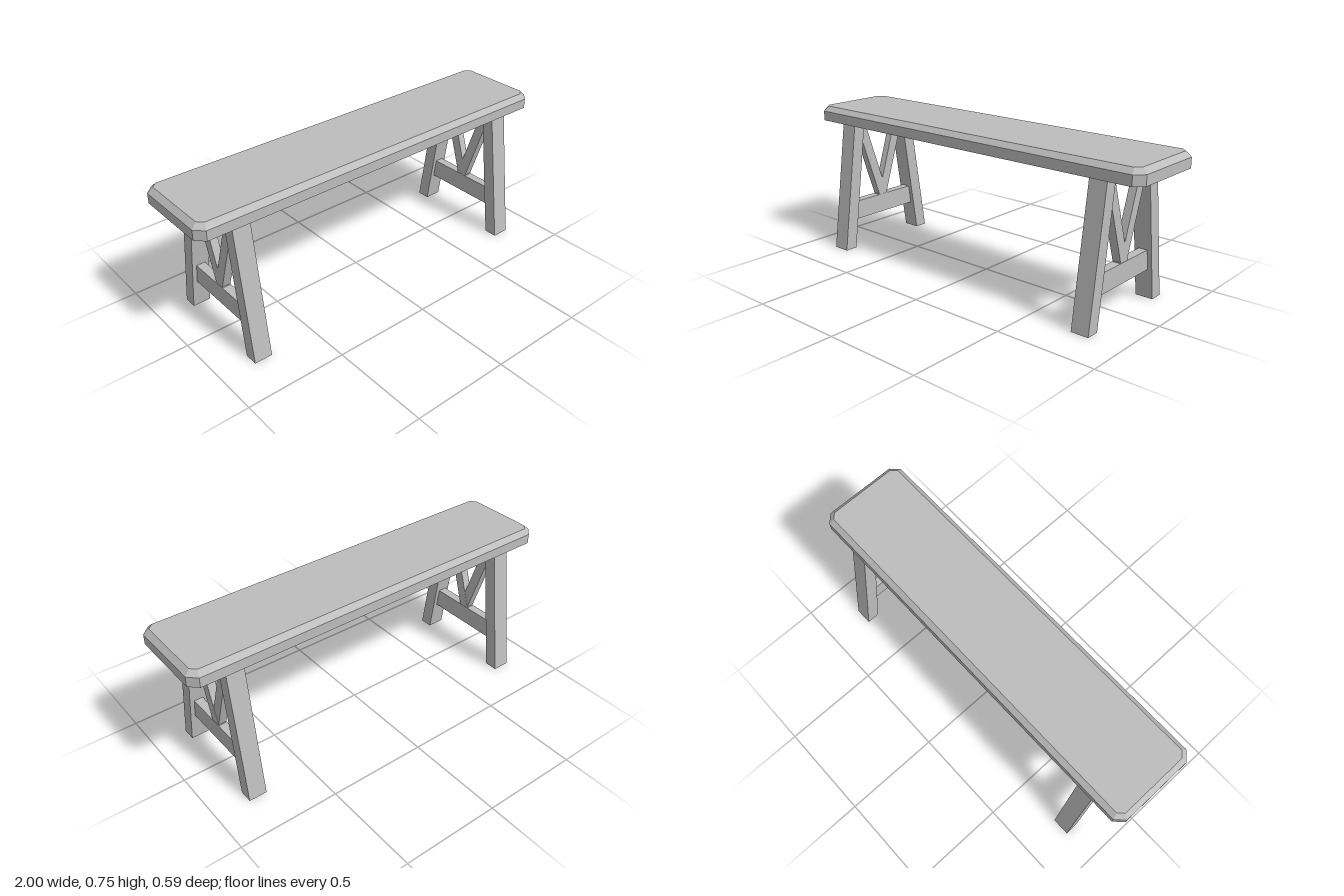
import * as THREE from 'three';
import { ConvexGeometry } from 'three/addons/geometries/ConvexGeometry.js';

const SEAT_BOTTOM = 0.675;

// Rectangle with cut corners, as a ring of points at height y
function cornerCutRing(halfX, halfZ, cut, y) {
  const points = [];
  for (const sx of [-1, 1]) {
    for (const sz of [-1, 1]) {
      points.push(new THREE.Vector3(sx * (halfX - cut), y, sz * halfZ));
      points.push(new THREE.Vector3(sx * halfX, y, sz * (halfZ - cut)));
    }
  }
  return points;
}

// Board cut from a [z, y] outline, centred on x
function board(name, outline, thickness, material) {
  const shape = new THREE.Shape(outline.map(([z, y]) => new THREE.Vector2(z, y)));
  const geometry = new THREE.ExtrudeGeometry(shape, { depth: thickness, bevelEnabled: false });
  geometry.translate(0, 0, -thickness / 2);
  geometry.rotateY(-Math.PI / 2);
  const mesh = new THREE.Mesh(geometry, material);
  mesh.name = name;
  return mesh;
}

// A-frame support: two splayed legs, a stretcher and a V of braces
function createTrestle(material) {
  const trestle = new THREE.Group();
  for (const s of [1, -1]) {
    const side = s > 0 ? 'front' : 'back';
    const mirror = (points) => points.map(([z, y]) => [s * z, y]);
    const leg = [[0.23, 0], [0.297, 0], [0.2, SEAT_BOTTOM], [0.135, SEAT_BOTTOM]];
    trestle.add(board(side + 'Leg', mirror(leg), 0.09, material));
    const brace = [[-0.029, 0.25], [0.026, 0.25], [0.166, SEAT_BOTTOM], [0.111, SEAT_BOTTOM]];
    // slightly different thicknesses keep the crossing faces apart
    trestle.add(board(side + 'Brace', mirror(brace), s > 0 ? 0.042 : 0.04, material));
  }
  const stretcher = [[-0.22, 0.15], [0.22, 0.15], [0.21, 0.25], [-0.21, 0.25]];
  trestle.add(board('stretcher', stretcher, 0.045, material));
  return trestle;
}

export function createModel() {
  const bench = new THREE.Group();
  bench.name = 'bench';
  const grey = new THREE.MeshStandardMaterial({ color: 0xbdbdbd });
  grey.name = 'light grey';

  // Seat plank with cut corners and a bevelled top edge
  const seat = new THREE.Mesh(new ConvexGeometry([
    ...cornerCutRing(1, 0.225, 0.041, SEAT_BOTTOM),
    ...cornerCutRing(1, 0.225, 0.041, 0.725),
    ...cornerCutRing(0.975, 0.2, 0.026, 0.75),
  ]), grey);
  seat.name = 'seat';
  bench.add(seat);

  // One support near each end
  for (const s of [1, -1]) {
    const trestle = createTrestle(grey);
    trestle.name = s > 0 ? 'leftTrestle' : 'rightTrestle';
    trestle.position.x = s * 0.785;
    bench.add(trestle);
  }
  return bench;
}
